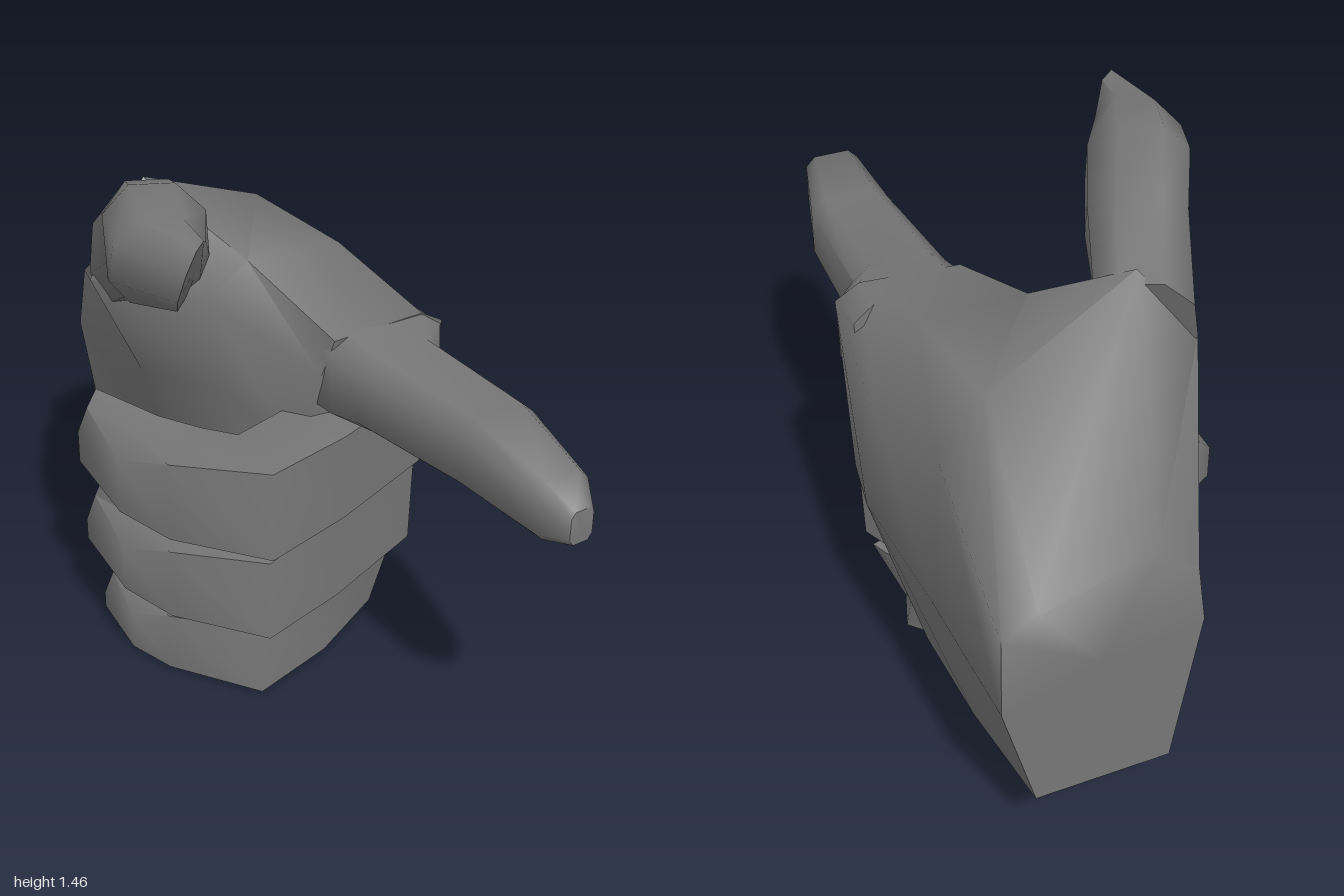
import * as THREE from 'three';
import { toCreasedNormals } from 'three/addons/utils/BufferGeometryUtils.js';

const material = new THREE.MeshStandardMaterial({ color: 0x777777 });

// Closed loft through rings of equal point count, capped at both ends.
function loft(name, rings, crease) {
  const n = rings[0].length;
  const points = rings.flat();
  const index = [];
  for (let r = 0; r < rings.length - 1; r++) {
    for (let i = 0; i < n; i++) {
      const a = r * n + i, b = r * n + (i + 1) % n;
      index.push(a, b, b + n, a, b + n, a + n);
    }
  }
  [0, rings.length - 1].forEach((r, end) => {
    const centre = rings[r].reduce((s, p) => s.add(p), new THREE.Vector3()).divideScalar(n);
    const c = points.push(centre) - 1;
    for (let i = 0; i < n; i++) {
      const a = r * n + i, b = r * n + (i + 1) % n;
      index.push(...(end ? [c, a, b] : [c, b, a]));
    }
  });
  // Turn the faces outward if the rings run the other way round
  let volume = 0;
  const cross = new THREE.Vector3();
  for (let i = 0; i < index.length; i += 3) {
    cross.crossVectors(points[index[i + 1]], points[index[i + 2]]);
    volume += points[index[i]].dot(cross);
  }
  if (volume < 0) index.reverse();
  const geometry = new THREE.BufferGeometry().setFromPoints(points);
  geometry.setIndex(index);
  const mesh = new THREE.Mesh(toCreasedNormals(geometry, crease), material);
  mesh.name = name;
  return mesh;
}

const vec = (x, y, z) => new THREE.Vector3(x, y, z);

// Chamfered square ring around a centre, spanned by a side and an up half-axis;
// flat is the part of each side left straight.
function ring(centre, side, up, flat) {
  const corners = [[1, flat], [flat, 1], [-flat, 1], [-1, flat],
    [-1, -flat], [-flat, -1], [flat, -1], [1, -flat]];
  return corners.map(([s, u]) => vec(...centre)
    .addScaledVector(vec(...side), s)
    .addScaledVector(vec(...up), u));
}

// Palm: wrist, thumb root, web and knuckles.
// Each section runs top back, top inner, down the palm, up the hand's back.
function palm() {
  const sections = [
    [[.36, .82, -1], [.065, .9, -1], [-.045, .82, -1], [-.07, .65, -1],
      [0, .22, -1], [.36, .22, -1], [.45, .54, -1], [.45, .77, -1]],
    [[.31, 1.13, -.58], [-.12, 1.31, -.49], [-.31, 1.06, -.47], [-.16, .74, -.47],
      [.05, .07, -.52], [.33, .05, -.53], [.455, .54, -.58], [.43, .98, -.58]],
    [[.33, 1.11, -.2], [.04, 1.12, -.22], [-.07, 1.02, -.25], [-.03, .74, -.25],
      [.06, .03, -.2], [.33, .03, -.2], [.485, .57, -.2], [.455, .87, -.2]],
    [[.36, 1.02, .14], [.08, 1.01, .13], [.06, .9, .1], [.06, .6, 0],
      [.08, .02, -.08], [.32, .02, -.05], [.43, .5, .05], [.43, .98, .14]],
  ];
  return loft('palm', sections.map(s => s.map(p => vec(...p))), 1.2);
}

// Straight forefinger: [z, left x, right x, bottom y, top y]
function forefinger() {
  const stations = [
    [.02, .07, .42, .75, 1.03], [.14, .065, .425, .76, 1.015], [.24, .08, .345, .777, 1.0],
    [.63, .1, .33, .79, .988], [.92, .09, .25, .803, .96], [1.0, .13, .2, .82, .91],
  ];
  return loft('forefinger', stations.map(([z, x0, x1, y0, y1]) => ring(
    [(x0 + x1) / 2, (y0 + y1) / 2, z], [(x1 - x0) / 2, 0, 0], [0, (y1 - y0) / 2, 0], .65)), 1.0);
}

// Thumb, rising from the palm and hooking forward to a slanted tip.
function thumb() {
  return loft('thumb', [
    ring([-.17, 1.13, -.46], [.11, 0, .05], [.04, .14, -.04], .45),
    ring([-.25, 1.26, -.23], [.11, 0, .06], [.02, .135, -.05], .45),
    ring([-.325, 1.335, -.08], [.115, 0, .06], [.01, .125, -.03], .45),
    ring([-.395, 1.325, .04], [.095, 0, .06], [.01, .115, .02], .45),
    ring([-.38, 1.33, .17], [.055, 0, -.05], [-.005, .1, .055], .45),
  ], 1.1);
}

// Curled finger: knuckle, first joint, second joint, then back to the tip.
// Stations: outer x, outer z, inner x, inner z, then bottom, outer top and
// inner top as parts of the height.
const CURL = [
  [.42, .08, .3, -.15, .1, 1, 1],
  [.07, .2, .06, -.05, .08, 1, 1],
  [-.2, .255, -.14, 0, .04, 1, 1],
  [-.36, 0, -.19, -.11, 0, .85, .95],
  [-.4, -.2, -.25, -.23, 0, .6, .95],
  [-.4, -.42, -.31, -.47, .2, .55, .92],
];

function curledFinger(name, { y, height, reach, shift, depth, droop }) {
  // The knuckles recede towards the little finger
  const knuckle = h => Math.min(.42, .31 + .4 * h);
  return loft(name, CURL.map(([ox, oz, ix, iz, low, outer, inner], i) => {
    const sx = i > 1 ? reach : 1, sz = i > 3 ? depth : 1, drop = i > 1 ? droop : 0;
    const y0 = y + low * height;
    const yOuter = y + (outer - drop) * height, yInner = y + (inner - drop) * height;
    const z = oz * sz + shift, nx = ix * sx, nz = iz * sz + shift;
    const outerX = h => (i ? ox * sx : knuckle(h));
    const mx = (ox * sx + nx) / 2, mz = (z + nz) / 2;
    const bevel = .15 * (yInner - y0);
    return [
      vec(outerX(y0), y0, z), vec(outerX(yOuter), yOuter, z),
      vec(mx, (yOuter + yInner) / 2, mz), vec(nx, yInner - bevel / 2, nz),
      vec(nx, y0 + bevel, nz), vec(mx, y0, mz),
    ];
  }), 1.3);
}

export function createModel() {
  const hand = new THREE.Group();
  hand.name = 'pointingHand';
  hand.add(
    palm(),
    forefinger(),
    thumb(),
    curledFinger('middleFinger',
      { y: .487, height: .273, reach: 1, shift: 0, depth: 1, droop: 0 }),
    curledFinger('ringFinger',
      { y: .22, height: .29, reach: .965, shift: -.025, depth: .95, droop: .13 }),
    curledFinger('littleFinger',
      { y: 0, height: .25, reach: .9, shift: -.085, depth: .72, droop: .15 }),
  );
  return hand;
}
